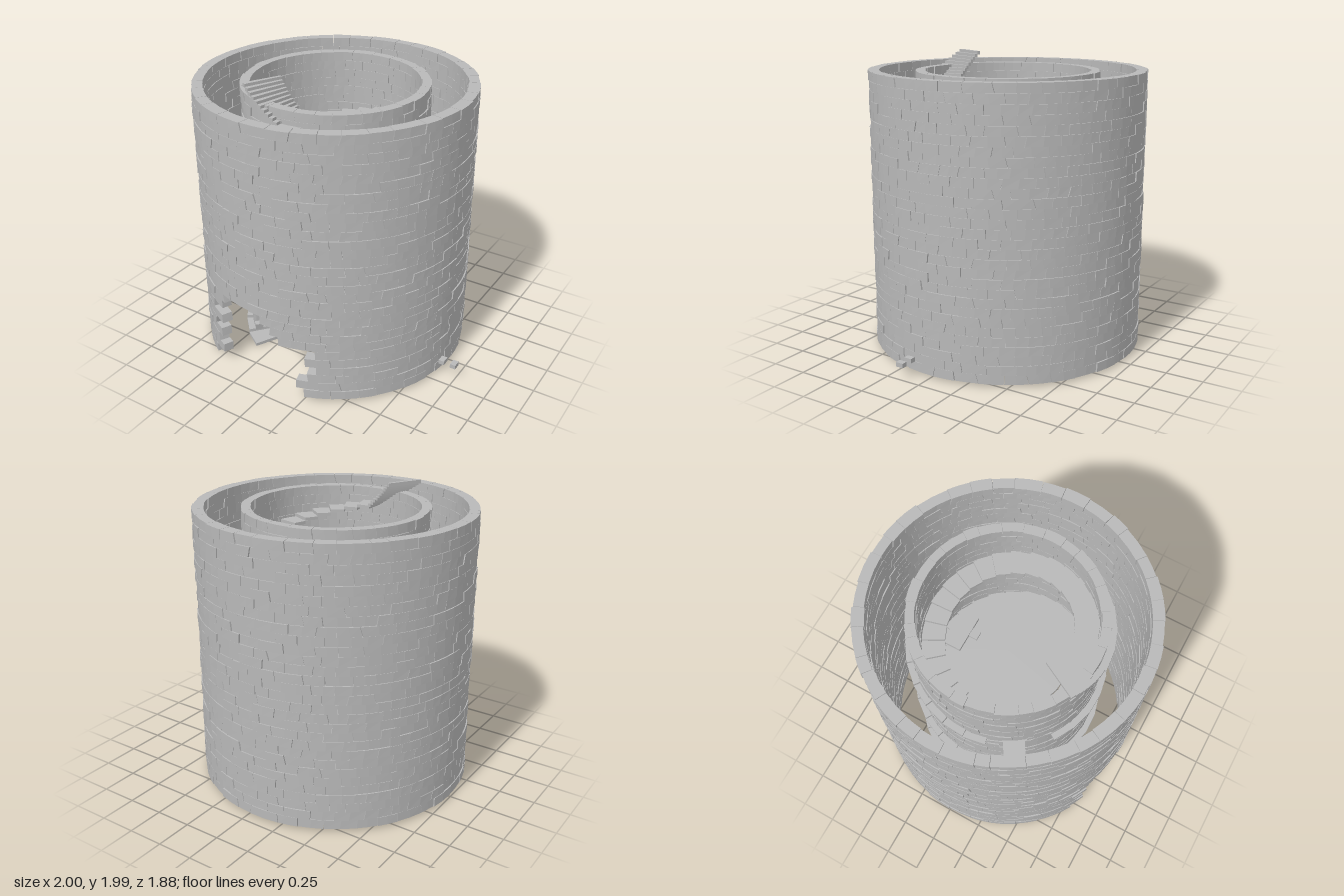
import * as THREE from 'three';

const DEG = Math.PI / 180;
const CX = -0.06;

function makeRandom(seed) {
  return () => {
    seed = (seed * 16807) % 2147483647;
    return seed / 2147483647;
  };
}

// Appends a curved block; angles (degrees, from +z towards +x) may differ at base and top
function addBlock(out, b0, b1, t0, t1, rIn, rOut, y0, y1, segs = 2) {
  const p = (a, r, y) => [r * Math.sin(a * DEG), y, r * Math.cos(a * DEG)];
  const quad = (a, b, c, d) => out.push(...a, ...b, ...c, ...a, ...c, ...d);
  for (let i = 0; i < segs; i++) {
    const u = i / segs, v = (i + 1) / segs;
    const bu = b0 + (b1 - b0) * u, bv = b0 + (b1 - b0) * v;
    const tu = t0 + (t1 - t0) * u, tv = t0 + (t1 - t0) * v;
    quad(p(bu, rOut, y0), p(bv, rOut, y0), p(tv, rOut, y1), p(tu, rOut, y1));
    quad(p(bv, rIn, y0), p(bu, rIn, y0), p(tu, rIn, y1), p(tv, rIn, y1));
    quad(p(tu, rOut, y1), p(tv, rOut, y1), p(tv, rIn, y1), p(tu, rIn, y1));
    quad(p(bu, rIn, y0), p(bv, rIn, y0), p(bv, rOut, y0), p(bu, rOut, y0));
  }
  quad(p(b0, rIn, y0), p(b0, rOut, y0), p(t0, rOut, y1), p(t0, rIn, y1));
  quad(p(b1, rOut, y0), p(b1, rIn, y0), p(t1, rIn, y1), p(t1, rOut, y1));
}

function toMesh(name, positions, material) {
  const geometry = new THREE.BufferGeometry();
  geometry.setAttribute('position', new THREE.Float32BufferAttribute(positions, 3));
  geometry.computeVertexNormals();
  const mesh = new THREE.Mesh(geometry, material);
  mesh.name = name;
  return mesh;
}

// Ring wall of staggered, uneven bricks; gap(y) gives the broken doorway's angle range
function brickWall(name, { rIn, rOut, rows, perRow, y0, y1, gap, seed }, material) {
  const random = makeRandom(seed);
  const jitter = (s) => (random() - 0.5) * 2 * s;
  const out = [];
  const rowH = (y1 - y0) / rows, step = 360 / perRow;
  for (let row = 0; row < rows; row++) {
    const bottom = y0 + row * rowH;
    const range = gap(bottom + rowH / 2);
    const joints = [];
    for (let i = 0; i < perRow; i++) {
      const a = (i + (row % 2) * 0.5) * step - 180 + jitter(step * 0.22);
      joints.push([a + jitter(0.6), a + jitter(0.6)]);
    }
    joints.push([joints[0][0] + 360, joints[0][1] + 360]);
    for (let i = 0; i < perRow; i++) {
      const [b0, t0] = joints[i], [b1, t1] = joints[i + 1];
      const mid = (b0 + b1) / 2;
      const dr = jitter(0.005), di = jitter(0.004);
      if (range && mid > range[0] && mid < range[1]) continue;
      addBlock(out, b0 + 0.1, b1 - 0.1, t0 + 0.1, t1 - 0.1,
        rIn + di, rOut + dr, bottom, bottom + rowH - 0.001);
    }
  }
  return toMesh(name, out, material);
}

function box(name, size, position, turn, material) {
  const mesh = new THREE.Mesh(new THREE.BoxGeometry(...size), material);
  mesh.position.set(...position);
  mesh.rotation.y = turn * DEG;
  mesh.name = name;
  return mesh;
}

export function createModel() {
  const model = new THREE.Group();
  model.name = 'roundTower';
  const stone = new THREE.MeshStandardMaterial({ color: 0xb8b8b8 });
  stone.name = 'grey stone';

  const tower = new THREE.Group();
  tower.name = 'tower';
  tower.position.x = CX;
  model.add(tower);

  // Two concentric walls, each broken open at the front
  tower.add(brickWall('outerWall', {
    rIn: 0.862, rOut: 0.935, rows: 30, perRow: 36, y0: 0.018, y1: 1.902, seed: 71,
    gap: (y) => y < 0.39 ? [-28, 20] : y < 0.52 ? [-27, 5] : y < 0.58 ? [-17, -2] : null,
  }, stone));
  tower.add(brickWall('innerWall', {
    rIn: 0.56, rOut: 0.622, rows: 30, perRow: 28, y0: 0.018, y1: 1.892, seed: 913,
    gap: (y) => y < 0.34 ? [-41, 27] : y < 0.46 ? [-36, 20] : y < 0.54 ? [-24, 8] : null,
  }, stone));

  // Spiral stair passing through the inner wall, with a wide landing
  const stairs = [], R0 = 0.41, R1 = 0.668;
  const rise = 0.0222, tread = 13, start = -27, count = 81;
  const landing = [56, 57, 58];
  for (let i = 0; i < count; i++) {
    if (landing.includes(i)) continue;
    const a = start - i * tread;
    addBlock(stairs, a - tread, a, a - tread, a, R0, R1, i * rise, i * rise + 0.022, 1);
  }
  // Steep narrow steps at the top
  let y = count * rise;
  for (let i = 0, a = start - count * tread; i < 10; i++, a -= 2.8, y += 0.019) {
    addBlock(stairs, a - 2.8, a, a - 2.8, a, R0 - 0.01, R1 - 0.01, y - 0.006, y + 0.019, 1);
  }
  tower.add(toMesh('spiralStairs', stairs, stone));

  const slab = [], ly = landing[1] * rise;
  const la = start - landing[0] * tread;
  addBlock(slab, la - 39, la, la - 39, la, R0, 0.63, ly, ly + 0.022, 3);
  tower.add(toMesh('landing', slab, stone));
  tower.add(box('landingStub', [0.14, 0.022, 0.16],
    [0.68 * Math.sin(-58 * DEG), ly + 0.011, 0.68 * Math.cos(-58 * DEG)], -58, stone));

  // Upper floor level with the landing, with low slabs at the back
  const floor = new THREE.Mesh(new THREE.CylinderGeometry(R0 + 0.005, R0 + 0.005, 0.02, 28), stone);
  floor.position.y = ly + 0.01;
  floor.name = 'upperFloor';
  tower.add(floor);
  model.add(box('floorSlab', [0.26, 0.03, 0.13], [-0.09, ly + 0.03, -0.345], 0, stone));
  model.add(box('floorSlabStep', [0.06, 0.02, 0.06], [-0.07, ly + 0.025, -0.25], 0, stone));

  // Loose stones
  for (const [x, width] of [[0.765, 0.05], [0.895, 0.04], [0.98, 0.04]]) {
    model.add(box('looseStone', [width, 0.03, 0.055], [x, 0.1, 0.15], 0, stone));
  }
  model.add(box('wallStone', [0.1, 0.05, 0.065], [-0.235, 0.7, 0.73], -10, stone));
  return model;
}
